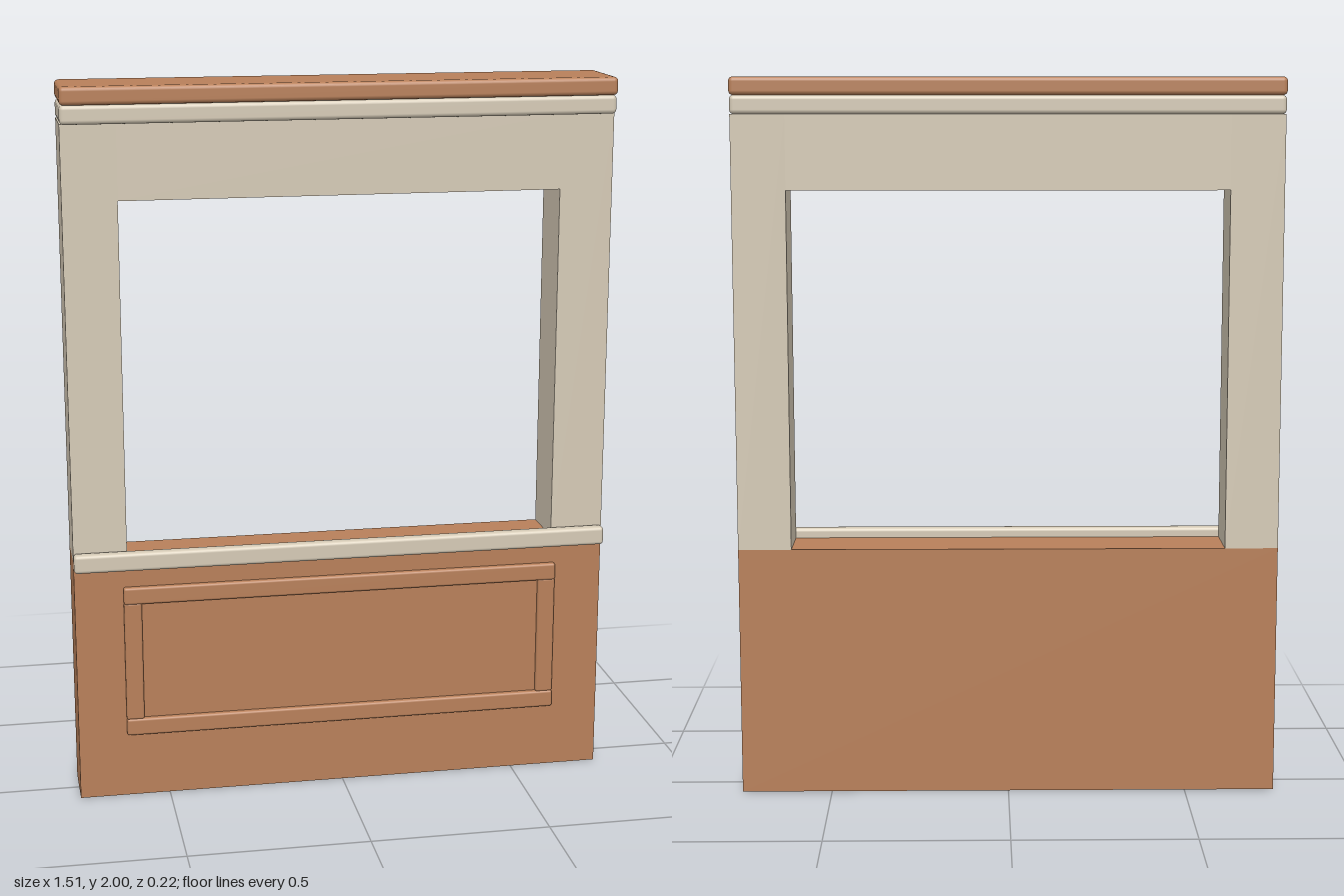
import * as THREE from 'three';
import { RoundedBoxGeometry } from 'three/addons/geometries/RoundedBoxGeometry.js';

export function createModel() {
  const model = new THREE.Group();
  model.name = 'servingCounter';

  const wood = new THREE.MeshStandardMaterial({ color: 0xb8805a });
  wood.name = 'brown wood';
  const cream = new THREE.MeshStandardMaterial({ color: 0xd5cab6 });
  cream.name = 'cream paint';

  // Box given by its limits on each axis; a radius rounds its edges
  function block(name, material, [x0, x1], [y0, y1], [z0, z1], radius = 0) {
    const size = [x1 - x0, y1 - y0, z1 - z0];
    const geometry = radius
      ? new RoundedBoxGeometry(...size, 3, radius)
      : new THREE.BoxGeometry(...size);
    const mesh = new THREE.Mesh(geometry, material);
    mesh.name = name;
    mesh.position.set((x0 + x1) / 2, (y0 + y1) / 2, (z0 + z1) / 2);
    model.add(mesh);
  }

  const width = [-0.753, 0.753];
  const depth = [-0.087, 0.077];

  // Lower wall and the opening above it
  block('base', wood, width, [0, 0.7], depth);
  block('leftPost', cream, [0.605, 0.753], [0.7, 1.9], depth);
  block('rightPost', cream, [-0.753, -0.605], [0.7, 1.9], depth);
  block('header', cream, [-0.605, 0.605], [1.695, 1.9], depth);

  // Counter rail along the front edge
  block('counterRail', cream, width, [0.675, 0.727], [0.075, 0.109], 0.01);

  // Stepped cornice
  block('corniceMoulding', cream, width, [1.9, 1.951], [-0.1, 0.103], 0.012);
  block('corniceCap', wood, width, [1.951, 2], [-0.112, 0.112], 0.012);

  // Raised panel frame on the front of the base
  for (const [name, y] of [['panelTopRail', 0.572], ['panelBottomRail', 0.184]]) {
    block(name, wood, [-0.618, 0.618], [y, y + 0.049], [0.06, 0.092], 0.007);
  }
  for (const [name, x] of [['panelLeftStile', 0.568], ['panelRightStile', -0.618]]) {
    block(name, wood, [x, x + 0.05], [0.23, 0.576], [0.06, 0.089], 0.007);
  }

  return model;
}
